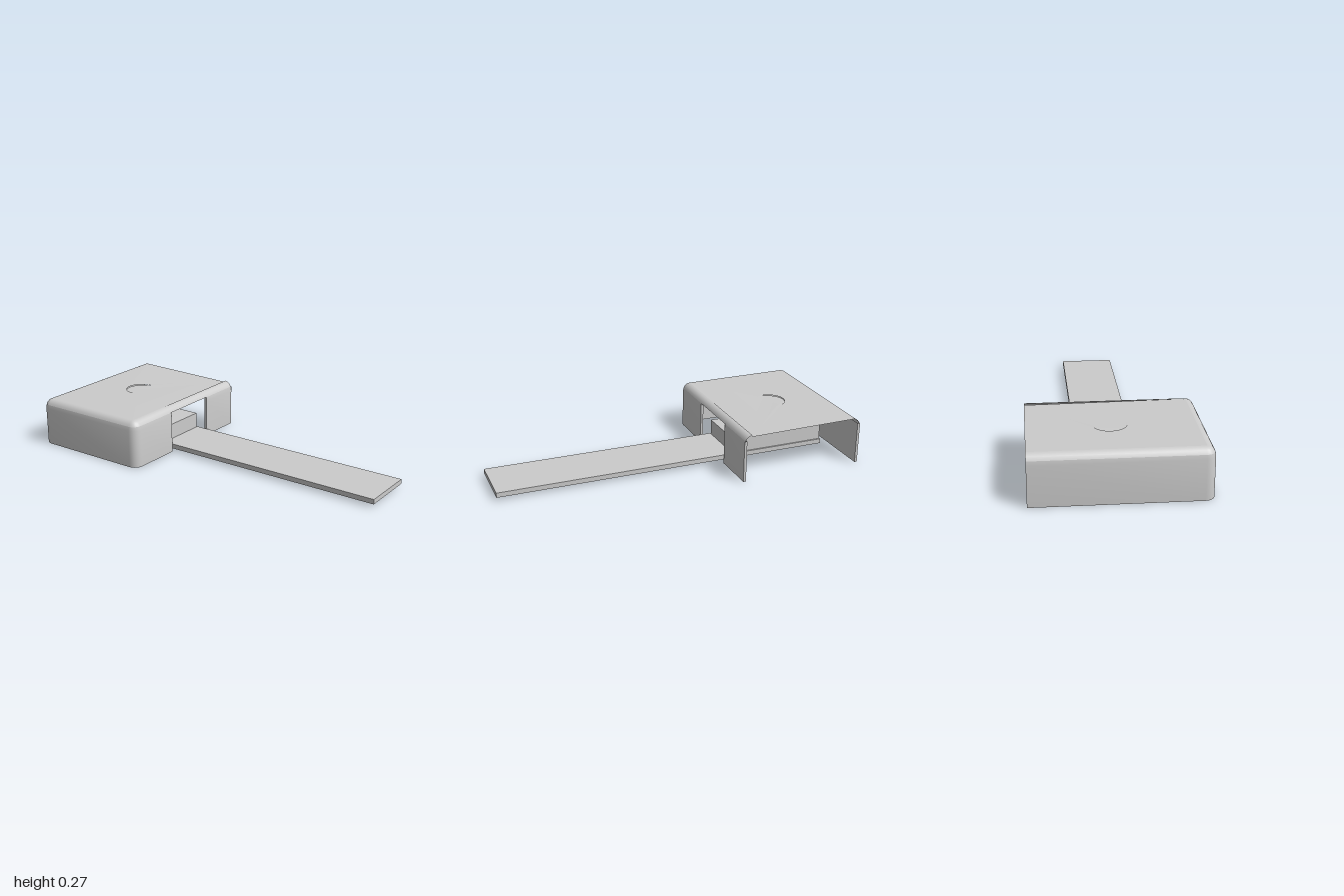
import * as THREE from 'three';
import { toCreasedNormals } from 'three/addons/utils/BufferGeometryUtils.js';

const material = new THREE.MeshStandardMaterial({ color: 0xcccccc, side: THREE.DoubleSide });

function addMesh(parent, name, geometry) {
  const mesh = new THREE.Mesh(geometry, material);
  mesh.name = name;
  parent.add(mesh);
  return mesh;
}

function addBox(parent, name, [x0, y0, z0], [x1, y1, z1]) {
  const mesh = addMesh(parent, name, new THREE.BoxGeometry(x1 - x0, y1 - y0, z1 - z0));
  mesh.position.set((x0 + x1) / 2, (y0 + y1) / 2, (z0 + z1) / 2);
}

const R = 0.05, STEPS = 5, WALL = 0.015;
const DOOR_X = [-0.133, 0.195], END_X = 0.45, FRONT = -0.29, BACK = -1;

// Cover outline in plan: back right end, round the closed side, to the front right end
function outline(inset) {
  const pts = [[END_X, BACK + inset]];
  const corner = (cx, cz, from, to) => {
    for (let i = 0; i <= STEPS; i++) {
      const a = THREE.MathUtils.degToRad(from + (to - from) * i / STEPS);
      pts.push([cx + (R - inset) * Math.cos(a), cz + (R - inset) * Math.sin(a)]);
    }
  };
  corner(-0.4, BACK + R, -90, -180);
  corner(-0.4, FRONT - R, 180, 90);
  for (const x of [...DOOR_X, END_X]) pts.push([x, FRONT - inset]);
  return pts;
}
const DOOR_LEFT = 2 * (STEPS + 1) + 1, DOOR_RIGHT = DOOR_LEFT + 1;

// Skin between successive rings, each { y, inset }, over part of the outline
function loft(rings, from, to) {
  const pos = [], index = [];
  const rows = rings.map(r => outline(r.inset).slice(from, to).map(([x, z]) => [x, r.y, z]));
  const n = rows[0].length;
  rows.forEach(row => row.forEach(p => pos.push(...p)));
  for (let j = 0; j < rows.length - 1; j++) {
    for (let i = 0; i < n - 1; i++) {
      const a = j * n + i, b = a + 1, c = a + n, d = c + 1;
      index.push(a, b, c, b, d, c);
    }
  }
  const g = new THREE.BufferGeometry();
  g.setAttribute('position', new THREE.Float32BufferAttribute(pos, 3));
  g.setIndex(index);
  return toCreasedNormals(g, 0.7);
}

// Rounded top edge
function filletRing(degrees) {
  const a = THREE.MathUtils.degToRad(degrees);
  return { y: 0.215 + 0.052 * Math.sin(a), inset: 0.045 * (1 - Math.cos(a)) };
}

// Roof height: sinks slightly towards the front right corner
const roofY = (x, z) => 0.267 - 0.008 * Math.max(0, x / 0.45) * (z + 0.955) / 0.62;

// Near-flat panel drawn in (x, -z), with its height given by a rule
function roofPanel(points, height) {
  const shape = new THREE.Shape(points.map(([x, z]) => new THREE.Vector2(x, -z)));
  const g = new THREE.ShapeGeometry(shape);
  g.rotateX(-Math.PI / 2);
  const p = g.attributes.position;
  for (let i = 0; i < p.count; i++) p.setY(i, height(p.getX(i), p.getZ(i)));
  g.computeVertexNormals();
  return g;
}

export function createModel() {
  const model = new THREE.Group();
  model.name = 'coverWithStrap';

  // Cover: open below and on its +x side, with a doorway at the front
  const cover = new THREE.Group();
  cover.name = 'cover';
  model.add(cover);
  const wallRings = [
    { y: 0.237, inset: WALL }, { y: 0, inset: WALL }, { y: 0, inset: 0 },
    filletRing(0), filletRing(25),
  ];
  addMesh(cover, 'mainWalls', loft(wallRings, 0, DOOR_LEFT + 1));
  addMesh(cover, 'frontLeftWall', loft(wallRings, DOOR_RIGHT));
  addMesh(cover, 'roundedTopEdge', loft([25, 38, 51, 64, 77, 90].map(filletRing), 0));

  // Narrow faces closing the wall thickness beside the doorway and the open side
  const frontZ = FRONT - WALL / 2, backZ = BACK + WALL / 2;
  for (const [x, z] of [[DOOR_X[0], frontZ], [DOOR_X[1], frontZ], [END_X, frontZ], [END_X, backZ]]) {
    const end = addMesh(cover, 'wallEnd', new THREE.PlaneGeometry(WALL, 0.237));
    end.rotation.y = Math.PI / 2;
    end.position.set(x, 0.1185, z);
  }

  // Roof: rear panel with a round notch, and a front panel fitting into it
  const notch = [];
  for (let i = 0; i <= 20; i++) {
    const a = THREE.MathUtils.degToRad(157 + 203 * i / 20);
    notch.push([0.028 + 0.087 * Math.cos(a), -0.652 + 0.087 * Math.sin(a)]);
  }
  const seam = [[-0.405, -0.35], ...notch, [0.42, -0.36], [END_X, -0.36]];
  addMesh(cover, 'rearRoof', roofPanel([...seam, [END_X, -0.955], [-0.405, -0.955]], roofY));
  // The tongue in the notch lies a little lower, leaving a thin slit
  addMesh(cover, 'frontRoof', roofPanel(
    [...seam, [END_X, -0.335], [-0.405, -0.335]],
    (x, z) => roofY(x, z) - (z < -0.66 ? 0.004 : 0)));

  // Strap running out through the doorway, with a block on its inner end
  addBox(model, 'strap', [-0.128, 0.018, -0.915], [0.183, 0.045, 1]);
  addBox(model, 'block', [-0.12, 0.045, -0.91], [0.175, 0.133, -0.35]);
  return model;
}
